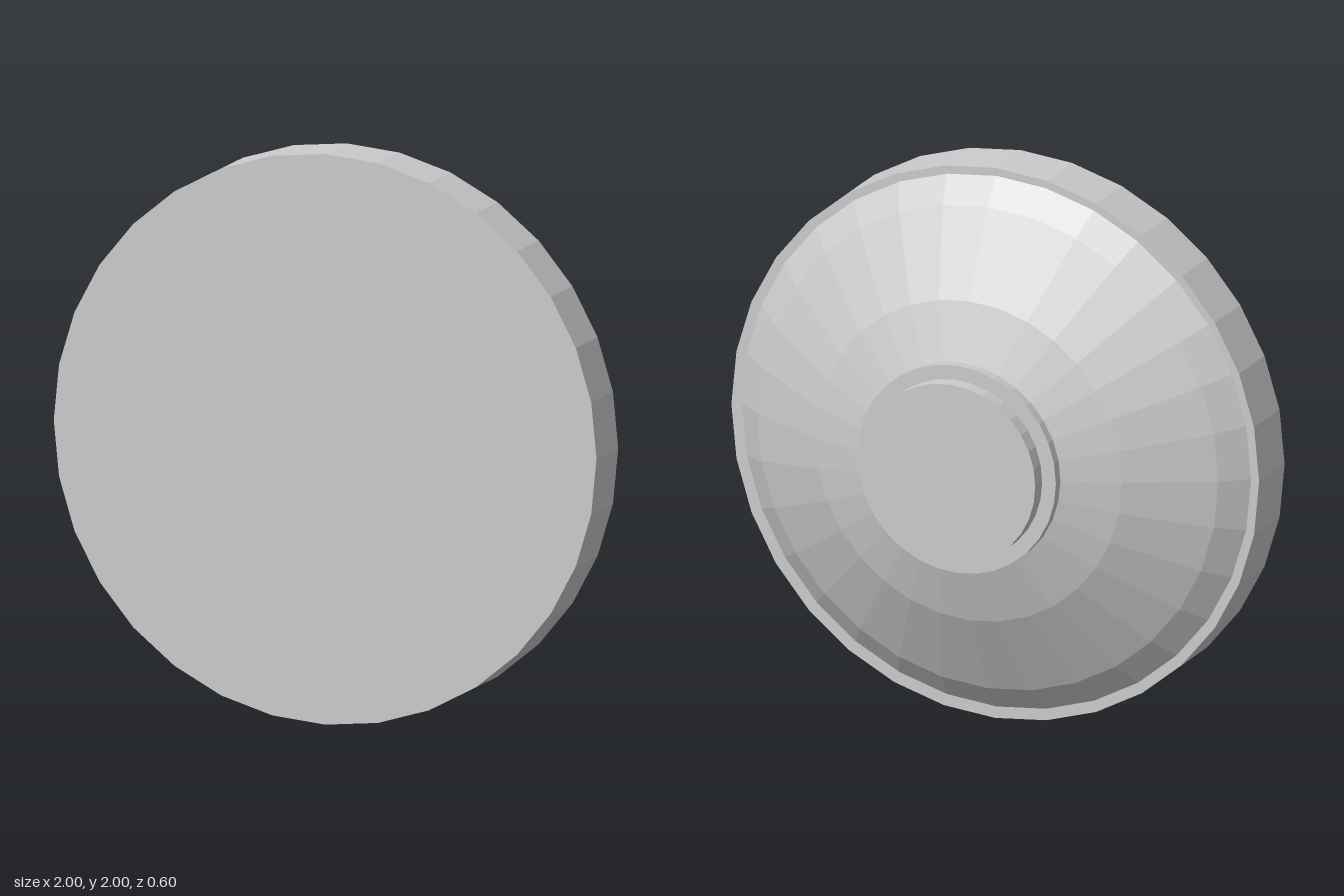
import * as THREE from 'three';

const SIDES = 32;

export function createModel() {
  const group = new THREE.Group();
  const material = new THREE.MeshStandardMaterial({ color: 0xcccccc, flatShading: true });

  const add = (name, geometry, x = 0, y = 1) => {
    const mesh = new THREE.Mesh(geometry, material);
    mesh.name = name;
    mesh.position.set(x, y, 0);
    group.add(mesh);
  };

  // Solid disc facing +z, between two depths
  const disc = (radius, zBack, zFront) =>
    new THREE.CylinderGeometry(radius, radius, zFront - zBack, SIDES)
      .rotateX(Math.PI / 2)
      .translate(0, 0, (zFront + zBack) / 2);

  // Wide front plate
  add('frontRim', disc(1, 0.09, 0.3));

  // Domed back shell: [radius, z] from the back opening to the rim
  const profile = [[0, -0.207], [0.375, -0.207], [0.58, -0.14], [0.875, 0.015], [0.967, 0.092]]
    .map(([r, z]) => new THREE.Vector2(r, z));
  add('backDome', new THREE.LatheGeometry(profile, SIDES).rotateX(Math.PI / 2), -0.005, 1.007);

  // Stepped mount at the back, a hair off centre like the dome
  add('mountFlange', disc(0.377, -0.243, -0.2), -0.006, 1.008);
  add('mountCap', disc(0.325, -0.3, -0.24), -0.006, 1.008);

  return group;
}
